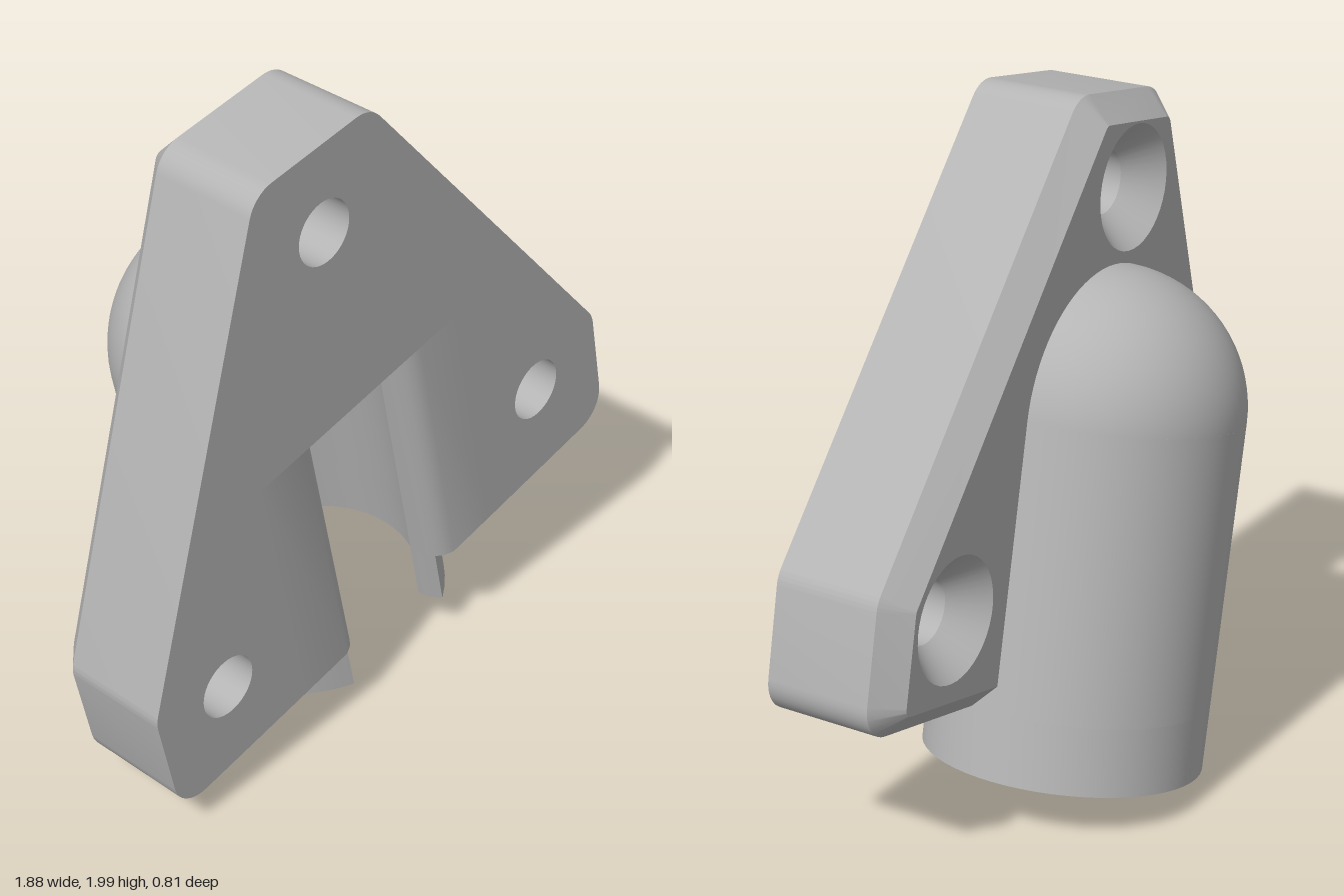
import * as THREE from 'three';
import { mergeGeometries, toCreasedNormals } from 'three/addons/utils/BufferGeometryUtils.js';

const TILT = 0.2196, ORIGIN = [0.09, 0.1]; // socket axis lean and its lower end
const R = 0.41, BORE = 0.335, LENGTH = 1.03, PLATE_S = 0.2, FRONT = 0.4, CHAMFER = 0.075;
const CREASE = 0.6;
const V = (x, y) => new THREE.Vector2(x, y);

// Socket coordinates (across, along) to plate coordinates
function fromSocket(x, s) {
  const c = Math.cos(TILT), n = Math.sin(TILT);
  return V(ORIGIN[0] + x * c - s * n, ORIGIN[1] + x * n + s * c);
}

// Rounded plate outline, counter-clockwise, with a notch for the socket
function outline(inset) {
  const corners = [[-0.859, 0.095], [0.961, 0.502], [0.88, 0.88], [-0.127, 2.004], [-0.554, 1.931], [-0.942, 0.466]]
    .map(p => V(...p));
  const radius = 0.1, pts = [];
  corners.forEach((v, i) => {
    const prev = corners[(i + 5) % 6], next = corners[(i + 1) % 6];
    const a = v.clone().sub(prev).normalize(), b = next.clone().sub(v).normalize();
    const n1 = V(a.y, -a.x), n2 = V(b.y, -b.x);
    const centre = v.clone().addScaledVector(n1.clone().add(n2), -radius / (1 + n1.dot(n2)));
    const start = n1.angle(), sweep = Math.acos(n1.dot(n2));
    for (let k = 0; k <= 8; k++) {
      const t = start + sweep * k / 8;
      pts.push(V(centre.x + (radius - inset) * Math.cos(t), centre.y + (radius - inset) * Math.sin(t)));
    }
    if (i === 0) {
      pts.push(fromSocket(-R, PLATE_S + inset), fromSocket(-R, LENGTH),
        fromSocket(R, LENGTH), fromSocket(R, PLATE_S + inset));
    }
  });
  return pts;
}

// Clockwise circle, so that walls face into the hole
function hole([x, y], r) {
  return Array.from({ length: 40 }, (_, i) => {
    const t = -i / 40 * Math.PI * 2;
    return V(x + r * Math.cos(t), y + r * Math.sin(t));
  });
}

// Wall joining two matching loops at different depths
function wall(low, zLow, high, zHigh) {
  const pos = [];
  low.forEach((a, i) => {
    const j = (i + 1) % low.length, b = low[j], c = high[j], d = high[i];
    pos.push(a.x, a.y, zLow, b.x, b.y, zLow, c.x, c.y, zHigh);
    pos.push(a.x, a.y, zLow, c.x, c.y, zHigh, d.x, d.y, zHigh);
  });
  return new THREE.BufferGeometry().setAttribute('position', new THREE.Float32BufferAttribute(pos, 3));
}

// Flat face with holes
function face(loop, holes, z, flip) {
  const shape = new THREE.Shape(loop);
  shape.holes = holes.map(h => new THREE.Path(h));
  const g = new THREE.ShapeGeometry(shape);
  if (flip) g.index.array.reverse();
  const flat = g.toNonIndexed().translate(0, 0, z);
  flat.deleteAttribute('uv');
  flat.deleteAttribute('normal');
  return flat;
}

function plateGeometry() {
  const outer = outline(0), inner = outline(CHAMFER);
  const centres = [[-0.297, 1.708], [-0.67, 0.427], [0.627, 0.745]];
  const small = centres.map(c => hole(c, 0.095)), large = centres.map(c => hole(c, 0.182));
  const parts = [
    face(outer, small, FRONT, false),
    face(inner, large, 0, true),
    wall(outer, CHAMFER, outer, FRONT),
    wall(inner, 0, outer, CHAMFER),
  ];
  // Countersunk screw holes
  centres.forEach((_, i) => parts.push(wall(large[i], 0, small[i], 0.1), wall(small[i], 0.1, small[i], FRONT)));
  return toCreasedNormals(mergeGeometries(parts), CREASE);
}

// Slotted tube section extruded along the socket axis; lip points are [x, z]
function tubeGeometry(lip, outerStart, depth) {
  const arc = (r, from, to) => Array.from({ length: 49 }, (_, i) => {
    const t = from + (to - from) * i / 48;
    return [r * Math.sin(t), r * Math.cos(t)];
  });
  const boreStart = Math.asin(0.175 / BORE), full = Math.PI * 2;
  const profile = [
    ...lip,
    ...arc(R, outerStart, full - outerStart),
    ...lip.map(([x, z]) => [-x, z]).reverse(),
    ...arc(BORE, full - boreStart, boreStart),
  ];
  const shape = new THREE.Shape(profile.map(([x, z]) => V(x, -z)));
  const g = new THREE.ExtrudeGeometry(shape, { depth, bevelEnabled: false });
  return toCreasedNormals(g.rotateX(-Math.PI / 2), CREASE);
}

export function createModel() {
  const model = new THREE.Group();
  model.name = 'wallBracket';
  const grey = new THREE.MeshStandardMaterial({ color: 0xb4b4b4 });
  grey.name = 'grey';
  const add = (parent, geometry, name, y = 0) => {
    const mesh = new THREE.Mesh(geometry, grey);
    mesh.name = name;
    mesh.position.y = y;
    parent.add(mesh);
  };

  add(model, plateGeometry(), 'mountingPlate');

  const socket = new THREE.Group();
  socket.name = 'socket';
  socket.position.set(ORIGIN[0], ORIGIN[1], 0);
  socket.rotation.z = TILT;
  model.add(socket);

  // Free end of the tube below the plate
  add(socket, tubeGeometry([[0.178, 0.315]], Math.asin(0.2 / R), PLATE_S), 'tubeEnd');
  // Part set into the plate, with rounded slot edges
  const lip = [[0.176, 0.325], [0.184, 0.352], [0.195, 0.372], [0.211, 0.388], [0.238, FRONT], [R, FRONT]];
  add(socket, tubeGeometry(lip, Math.PI / 2, LENGTH - PLATE_S), 'tubeInPlate', PLATE_S);
  // Domed top and the flat end of the bore
  add(socket, new THREE.SphereGeometry(R, 40, 20, Math.PI, Math.PI, 0, Math.PI / 2), 'dome', LENGTH);
  add(socket, new THREE.CircleGeometry(R, 40, Math.PI, Math.PI).rotateX(Math.PI / 2), 'boreEnd', LENGTH);

  return model;
}
